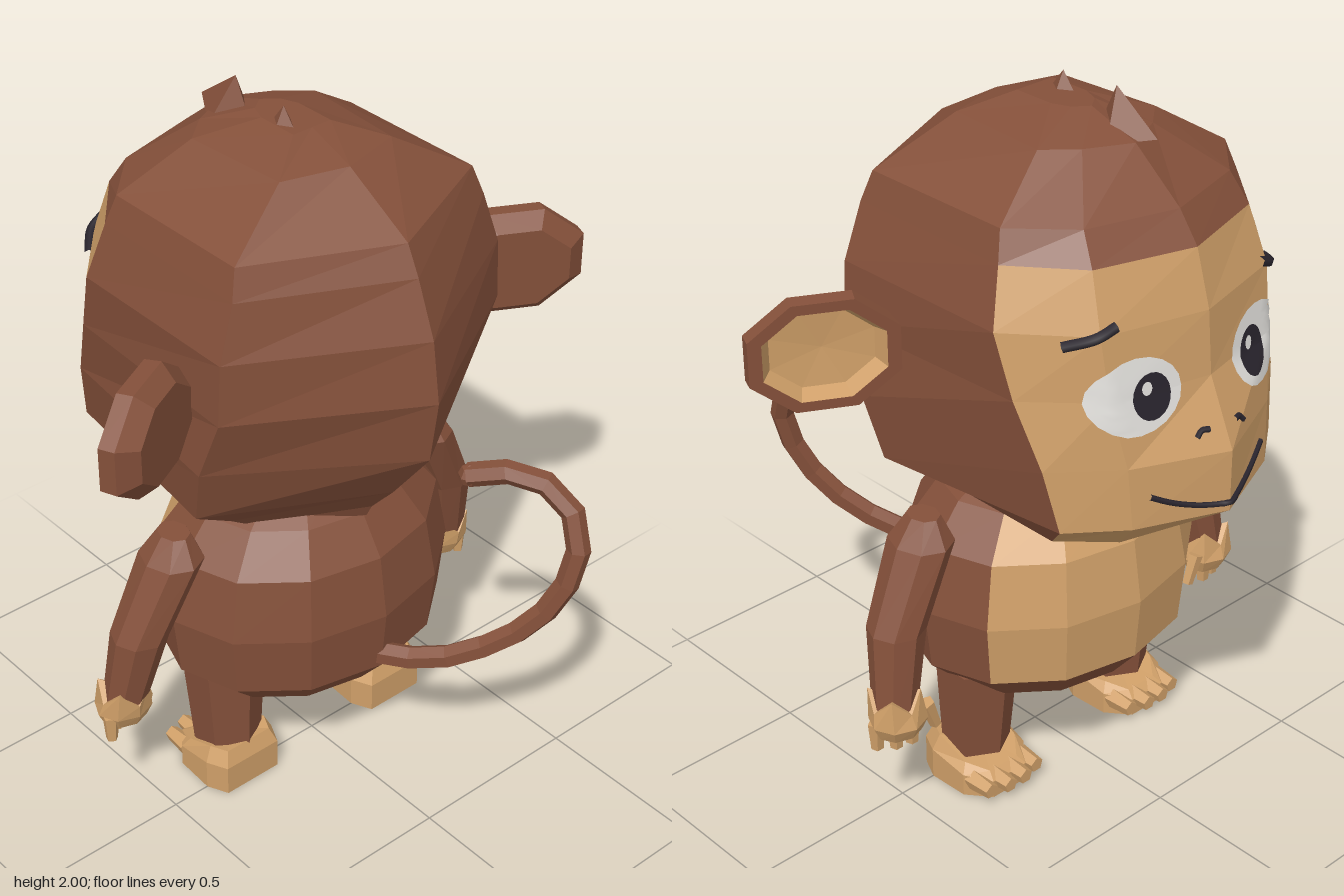
import * as THREE from 'three';

const paint = (name, color) => {
  const m = new THREE.MeshStandardMaterial({ color });
  m.name = name;
  return m;
};

// Faceted normals for any geometry
const facet = (g) => {
  const out = g.index ? g.toNonIndexed() : g;
  out.computeVertexNormals();
  return out;
};

// Elliptical ring, running from +z towards +x
const ring = (cx, y, cz, rx, rz, n = 8) => Array.from({ length: n }, (_, i) => {
  const a = (i / n) * Math.PI * 2;
  return [cx + rx * Math.sin(a), y, cz + rz * Math.cos(a)];
});

// Skin rings from bottom to top; keep(row, column) picks the faces wanted
function loft(rings, keep = () => true, caps = true) {
  const v = [], n = rings[0].length;
  for (let i = 0; i < rings.length - 1; i++) for (let j = 0; j < n; j++) {
    if (!keep(i, j)) continue;
    const k = (j + 1) % n;
    const [a, b, c, d] = [rings[i][j], rings[i][k], rings[i + 1][k], rings[i + 1][j]];
    v.push(...a, ...b, ...c, ...a, ...c, ...d);
  }
  const cap = (r, up) => {
    const m = [0, 1, 2].map((q) => r.reduce((s, p) => s + p[q], 0) / n);
    r.forEach((p, j) => {
      const q = r[(j + 1) % n];
      v.push(...m, ...(up ? p : q), ...(up ? q : p));
    });
  };
  if (caps) { cap(rings[0], false); cap(rings[rings.length - 1], true); }
  const g = new THREE.BufferGeometry();
  g.setAttribute('position', new THREE.Float32BufferAttribute(v, 3));
  return facet(g);
}

export function createModel() {
  const brown = paint('brown fur', 0x84503a);
  const tan = paint('tan skin', 0xcf9f68);
  const white = paint('eye white', 0xe6e4e0);
  const dark = paint('dark line', 0x2a252e);
  const root = new THREE.Group();
  root.name = 'monkey';
  const add = (name, geo, mat, parent = root) => {
    const m = new THREE.Mesh(geo, mat);
    m.name = name;
    parent.add(m);
    return m;
  };
  const group = (name) => {
    const g = new THREE.Group();
    g.name = name;
    root.add(g);
    return g;
  };

  // Head rows: y, back z, rear side x z, front side x z, cheek x z, front z
  const head = group('head');
  const rows = [
    [0.89, 0.22, 0.26, 0.05, 0.27, -0.25, 0.18, -0.38, -0.42],
    [0.93, 0.24, 0.32, 0.05, 0.32, -0.4, 0.2, -0.52, -0.57],
    [1.02, 0.32, 0.455, 0.08, 0.38, -0.49, 0.24, -0.6, -0.7],
    [1.19, 0.45, 0.48, 0.13, 0.41, -0.46, 0.25, -0.59, -0.7],
    [1.37, 0.475, 0.47, 0.2, 0.44, -0.39, 0.28, -0.555, -0.62],
    [1.54, 0.45, 0.46, 0.2, 0.455, -0.34, 0.29, -0.53, -0.605],
    [1.69, 0.39, 0.41, 0.19, 0.41, -0.31, 0.27, -0.48, -0.56],
    [1.77, 0.35, 0.385, 0.17, 0.385, -0.29, 0.25, -0.43, -0.5],
    [1.89, 0.14, 0.18, 0.09, 0.2, -0.22, 0.12, -0.29, -0.35],
    [1.94, 0.0, 0.06, 0, 0.06, -0.12, 0.04, -0.17, -0.2],
  ].map(([y, zb, ax, az, bx, bz, cx, cz, zf]) => [
    [0, y, zb], [ax, y, az], [bx, y, bz], [cx, y, cz],
    [0, y, zf], [-cx, y, cz], [-bx, y, bz], [-ax, y, az],
  ]);
  const isFace = (i, j) => i < 6 && j >= 2 && j <= 5;
  add('headFur', loft(rows, (i, j) => !isFace(i, j)), brown, head);
  const face = add('face', loft(rows, isFace, false), tan, head);

  // Face features are laid onto the face surface
  const ray = new THREE.Raycaster();
  const onFace = (x, y, off) => {
    ray.set(new THREE.Vector3(x, y, -3), new THREE.Vector3(0, 0, 1));
    const hit = ray.intersectObject(face)[0];
    return new THREE.Vector3(x, y, (hit ? hit.point.z : -0.5) - off);
  };
  const disc = (name, x, y, rx, ry, off, mat) => {
    const g = new THREE.RingGeometry(0, 1, 20, 6).scale(rx, ry, 1).rotateY(Math.PI).translate(x, y, 0);
    const p = g.attributes.position;
    for (let i = 0; i < p.count; i++) p.setZ(i, onFace(p.getX(i), p.getY(i), off).z);
    g.computeVertexNormals();
    add(name, g, mat, head);
  };
  const line = (name, pts, r, off) => {
    const curve = new THREE.CatmullRomCurve3(pts.map(([x, y]) => onFace(x, y, off)));
    add(name, new THREE.TubeGeometry(curve, 24, r, 5), dark, head);
  };
  for (const s of [1, -1]) {
    disc('eyeWhite', s * 0.21, 1.37, 0.12, 0.1, 0.007, white);
    disc('pupil', s * 0.175, 1.365, 0.052, 0.062, 0.011, dark);
    disc('eyeGlint', s * 0.175 + 0.015, 1.39, 0.014, 0.018, 0.015, white);
    line('eyebrow', [[s * 0.355, 1.515], [s * 0.3, 1.54], [s * 0.25, 1.56]], 0.014, 0.008);
    line('nostril', [[s * 0.075, 1.235], [s * 0.06, 1.25], [s * 0.04, 1.25]], 0.008, 0.003);
  }
  const smile = Array.from({ length: 13 }, (_, i) => {
    const t = i / 6 - 1;
    return [t * 0.2, 1.045 + 0.06 * t * t];
  });
  line('mouth', smile, 0.008, 0.003);

  // Ears: shallow eight-sided bowls turned forwards
  const up = new THREE.Vector3(0, 1, 0);
  const bowl = (pts) => facet(new THREE.LatheGeometry(pts.map(([r, y]) => new THREE.Vector2(r, y)), 8).rotateY(Math.PI / 8));
  for (const s of [1, -1]) {
    const n = new THREE.Vector3(s * 0.47, 0, -0.88).normalize();
    const side = new THREE.Vector3().crossVectors(n, up);
    const place = new THREE.Matrix4().makeBasis(side, n, up).setPosition(s * 0.61, 1.38, 0.115);
    place.scale(new THREE.Vector3(0.21, 1, 0.162));
    add('ear', bowl([[0, -0.045], [0.75, -0.045], [1, 0], [0.98, 0.045], [0.8, 0.045]]).applyMatrix4(place), brown, head);
    add('innerEar', bowl([[0.8, 0.045], [0.68, 0.0], [0, -0.01]]).applyMatrix4(place), tan, head);
  }

  // Hair tufts
  const tuft = (x, y, z, w, d, h, tilt) => {
    const g = facet(new THREE.ConeGeometry(1, 1, 4)).scale(w, h, d).rotateX(tilt).translate(x, y, z);
    add('hairTuft', g, brown, head);
  };
  tuft(-0.035, 1.935, -0.265, 0.065, 0.11, 0.13, 0.25);
  tuft(-0.035, 1.935, -0.065, 0.05, 0.08, 0.1, 0);

  // Torso with a tan belly on the front third
  const profile = [[0.001, 0.24], [0.325, 0.325], [0.425, 0.42], [0.445, 0.6], [0.41, 0.78], [0.32, 0.89], [0.2, 0.95]];
  const torsoRows = profile.map(([r, y]) => ring(0, y, -0.05, r, r * 0.8, 12));
  const isBelly = (i, j) => i >= 2 && j >= 4 && j <= 7;
  add('torso', loft(torsoRows, (i, j) => !isBelly(i, j)), brown);
  add('belly', loft(torsoRows, isBelly, false), tan);

  for (const s of [1, -1]) {
    // Arm, hand with jagged cuff, and fingers
    const arm = group('arm');
    add('armFur', loft([
      ring(s * 0.59, 0.38, -0.09, 0.06, 0.06),
      ring(s * 0.55, 0.61, -0.06, 0.078, 0.08),
      ring(s * 0.445, 0.83, -0.045, 0.082, 0.095),
      ring(s * 0.435, 0.9, -0.045, 0.04, 0.05),
    ]), brown, arm);
    const cuff = ring(s * 0.59, 0.4, -0.09, 0.07, 0.07);
    cuff.forEach((p, i) => { if (i % 2) p[1] = 0.45; });
    add('hand', loft([
      ring(s * 0.585, 0.32, -0.1, 0.065, 0.055),
      ring(s * 0.587, 0.36, -0.1, 0.082, 0.075),
      cuff,
    ]), tan, arm);
    [[0.645, -0.08], [0.605, -0.11], [0.56, -0.12]].forEach(([x, z]) => {
      add('finger', facet(new THREE.CylinderGeometry(0.024, 0.017, 0.08, 5)).translate(s * x, 0.32, z), tan, arm);
    });
    const thumb = facet(new THREE.CylinderGeometry(0.022, 0.016, 0.09, 5));
    add('thumb', thumb.rotateZ(s * -0.35).translate(s * 0.5, 0.345, -0.13), tan, arm);

    // Leg, foot and toes
    const leg = group('leg');
    add('legFur', loft([
      ring(s * 0.27, 0.1, -0.05, 0.095, 0.095, 6),
      ring(s * 0.27, 0.38, -0.06, 0.115, 0.115, 6),
    ]), brown, leg);
    const sole = [[-0.09, 0.06], [0.09, 0.06], [0.118, 0], [0.112, -0.12], [0.06, -0.185], [-0.06, -0.185], [-0.112, -0.12], [-0.118, 0]];
    const footRow = (y, k, slope = 0) => sole.map(([x, z]) => [s * 0.27 + x * k, y + slope * Math.min(0, z), -0.04 + (z + 0.04) * k]);
    add('foot', loft([footRow(0, 1), footRow(0.09, 1, 0.2), footRow(0.135, 0.82, 0.35)]), tan, leg);
    for (let i = 0; i < 4; i++) {
      const x = -0.084 + i * 0.056;
      const toe = facet(new THREE.CylinderGeometry(0.022, 0.03, 0.08, 5)).rotateX(-Math.PI / 2);
      add('toe', toe.translate(s * 0.27 + x, 0.045, -0.19 + Math.abs(x) * 0.3), tan, leg);
    }
  }

  // Curled tail
  const tailPath = new THREE.CatmullRomCurve3([
    [0, 0.45, 0.26], [0.08, 0.47, 0.4], [0.19, 0.55, 0.53], [0.27, 0.66, 0.62], [0.325, 0.8, 0.665],
    [0.345, 0.92, 0.655], [0.34, 1.0, 0.59], [0.285, 1.04, 0.49], [0.21, 1.01, 0.38],
  ].map((p) => new THREE.Vector3(...p)));
  add('tail', facet(new THREE.TubeGeometry(tailPath, 11, 0.033, 6)), brown);
  add('tailTip', facet(new THREE.SphereGeometry(0.032, 6, 4)).translate(0.212, 1.011, 0.384), brown);

  return root;
}
